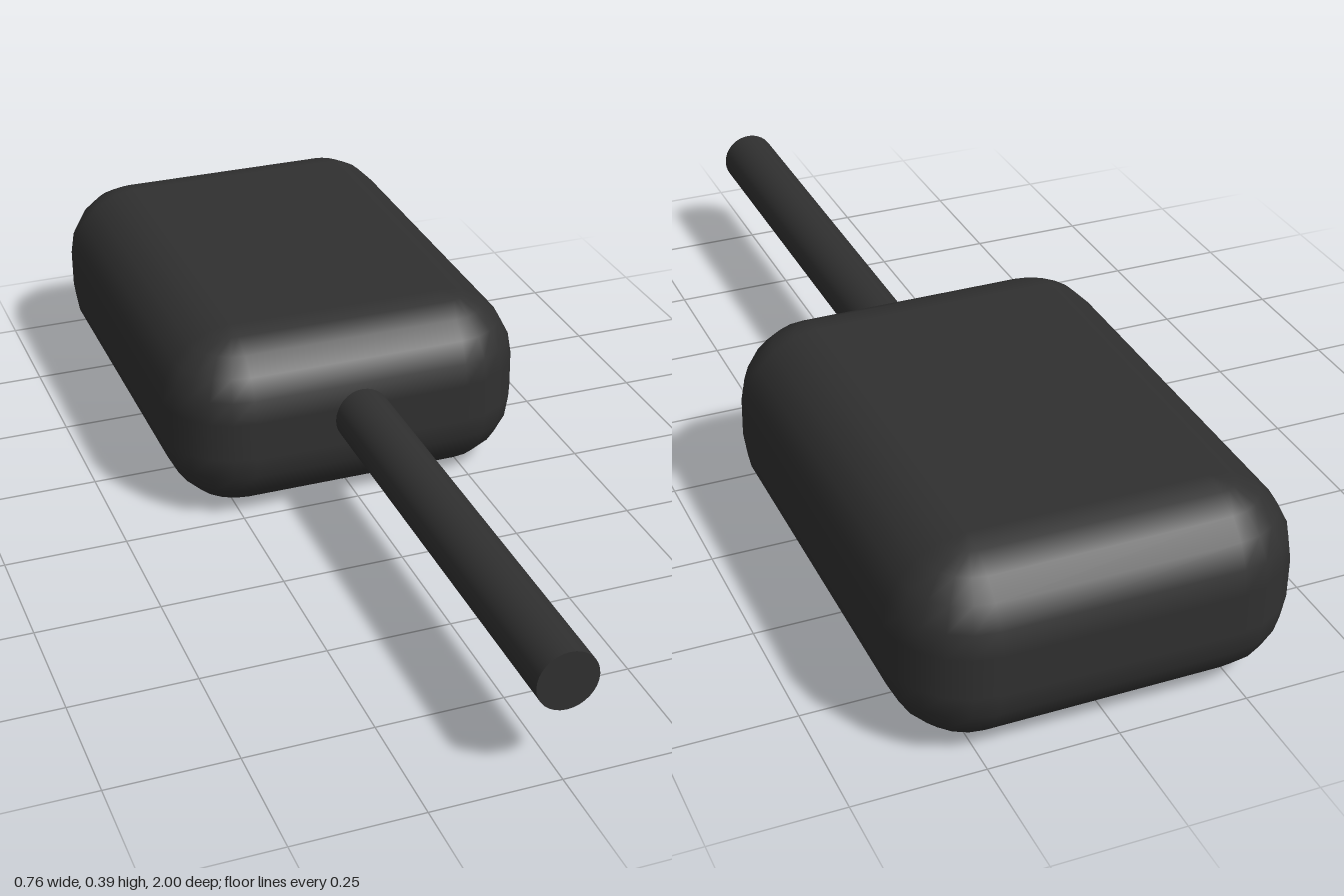
import * as THREE from 'three';

// Box with rounded edges and corners, wrapped from a grid: 4 corner arcs around, 2 arcs from top to bottom
function roundedBlock(w, h, d, r, n) {
  const k = n + 1;
  const across = 4 * k;
  const down = 2 * k + 1;
  const geo = new THREE.PlaneGeometry(1, 1, across, down);
  const pos = geo.attributes.position;
  const nor = geo.attributes.normal;
  for (let j = 0; j <= down; j++) {
    const top = j <= k;
    const cap = j === 0 || j === down; // centre point of the flat top or bottom
    const row = Math.min(Math.max(j - 1, 0), 2 * k - 1);
    const t = ((top ? row : row - 1) / n) * Math.PI / 2;
    for (let i = 0; i <= across; i++) {
      const c = Math.floor((i % across) / k);
      const a = (c + (i % k) / n) * Math.PI / 2;
      const nx = Math.sin(t) * Math.sin(a);
      const ny = Math.cos(t);
      const nz = Math.sin(t) * Math.cos(a);
      const sx = c < 2 ? 1 : -1;
      const sz = c === 0 || c === 3 ? 1 : -1;
      const v = j * (across + 1) + i;
      pos.setXYZ(v,
        cap ? 0 : sx * (w / 2 - r) + nx * r,
        (top ? 1 : -1) * (h / 2 - r) + ny * r,
        cap ? 0 : sz * (d / 2 - r) + nz * r);
      nor.setXYZ(v, nx, ny, nz);
    }
  }
  return geo;
}

export function createModel() {
  const model = new THREE.Group();
  const charcoal = new THREE.MeshStandardMaterial({ color: 0x303030 });
  charcoal.name = 'charcoal';

  // Rounded head
  const head = new THREE.Mesh(roundedBlock(0.762, 0.386, 1.03, 0.153, 5), charcoal);
  head.name = 'head';
  head.position.set(0, 0.193, -0.485);
  model.add(head);

  // Straight handle, set into the front of the head
  const handle = new THREE.Mesh(new THREE.CylinderGeometry(0.059, 0.059, 1.1, 32), charcoal);
  handle.name = 'handle';
  handle.rotation.x = Math.PI / 2;
  handle.position.set(0, 0.208, 0.45);
  model.add(handle);

  return model;
}
